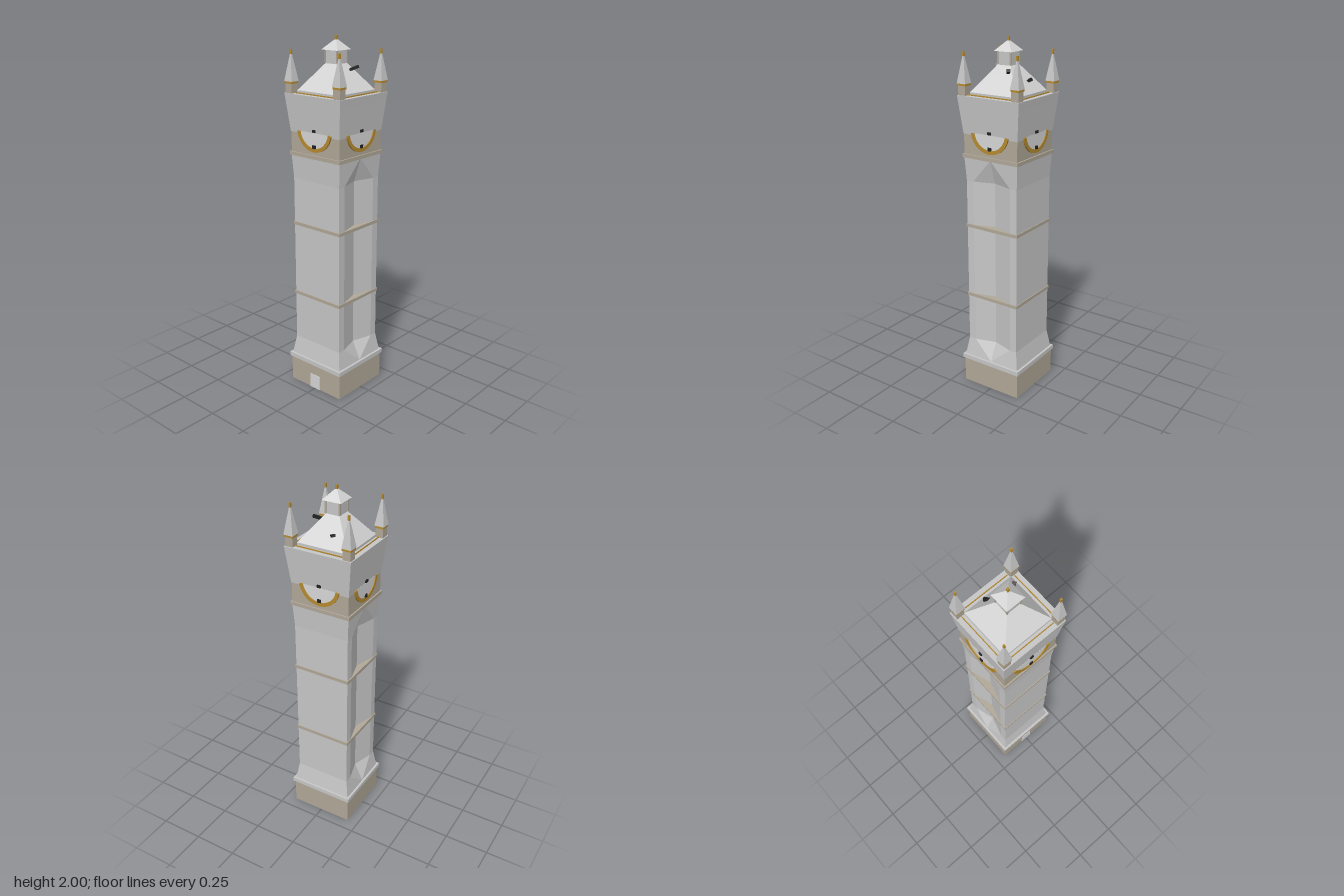
import * as THREE from 'three';

const mat = (name, color, side = THREE.FrontSide) => {
  const m = new THREE.MeshStandardMaterial({ color, side });
  m.name = name;
  return m;
};

export function createModel() {
  const stone = mat('grey stone', 0xc6c6c6);
  const tan = mat('tan stone', 0xb0a797);
  const pale = mat('pale grey', 0xd6d6d6);
  const gold = mat('gold', 0xb48a30);
  const dark = mat('dark iron', 0x222222);

  const tower = new THREE.Group();
  tower.name = 'clockTower';

  const add = (name, geo, material, x = 0, y = 0, z = 0, parent = tower) => {
    const m = new THREE.Mesh(geo, material);
    m.name = name;
    m.position.set(x, y, z);
    parent.add(m);
    return m;
  };
  // square block of half-width h between two heights
  const block = (name, h, y0, y1, material, parent = tower) =>
    add(name, new THREE.BoxGeometry(2 * h, y1 - y0, 2 * h), material, 0, (y0 + y1) / 2, 0, parent);
  // square block tapering from half-width h0 to h1
  const taper = (name, h0, h1, y0, y1, material, parent = tower) => {
    const g = new THREE.CylinderGeometry(h1 * Math.SQRT2, h0 * Math.SQRT2, y1 - y0, 4)
      .rotateY(Math.PI / 4).toNonIndexed();
    g.computeVertexNormals();
    return add(name, g, material, 0, (y0 + y1) / 2, 0, parent);
  };

  // plinth and door
  block('plinth', 0.184, 0, 0.15, tan);
  block('plinthLedge', 0.193, 0.15, 0.175, stone);
  add('door', new THREE.BoxGeometry(0.072, 0.085, 0.006), pale, 0, 0.0425, 0.184);

  // shaft, with a shallow V-shaped recess down its two sides
  const ring = (y, h, d) => [
    [h, h], [h, 0.12], [h - d, 0], [h, -0.12], [h, -h],
    [-h, -h], [-h, -0.12], [d - h, 0], [-h, 0.12], [-h, h],
  ].map(([x, z]) => [x, y, z]);
  const rings = [ring(0.175, 0.18, 0), ring(0.28, 0.163, 0.035), ring(1.24, 0.163, 0.035), ring(1.375, 0.171, 0)];
  const pos = [];
  for (let r = 0; r < 3; r++) {
    for (let i = 0; i < 10; i++) {
      const j = (i + 1) % 10;
      const a = rings[r][i], b = rings[r][j], c = rings[r + 1][j], d = rings[r + 1][i];
      const centreFirst = i === 2 || i === 7;
      if (centreFirst === (r === 2)) pos.push(...a, ...b, ...d, ...b, ...c, ...d);
      else pos.push(...a, ...b, ...c, ...a, ...c, ...d);
    }
  }
  const shaft = new THREE.BufferGeometry();
  shaft.setAttribute('position', new THREE.Float32BufferAttribute(pos, 3));
  shaft.computeVertexNormals();
  add('shaft', shaft, stone);
  for (const y of [0.563, 0.982]) block('shaftBand', 0.168, y - 0.009, y + 0.009, tan);

  // clock stage and flared top
  block('clockLedge', 0.178, 1.371, 1.391, tan);
  block('clockStage', 0.17, 1.391, 1.5, tan);
  taper('flareLower', 0.172, 0.189, 1.5, 1.66, stone);
  taper('flareUpper', 0.189, 0.194, 1.66, 1.705, stone);

  // lower part of a dial, cut level at the foot of the flare
  const cut = Math.asin(0.02 / 0.12);
  const discShape = new THREE.Shape();
  discShape.absarc(0, 0, 0.112, Math.PI + cut, 2 * Math.PI - cut, false);
  const rimShape = new THREE.Shape();
  rimShape.absarc(0, 0, 0.12, Math.PI + cut, 2 * Math.PI - cut, false);
  rimShape.absarc(0, 0, 0.1, 2 * Math.PI - cut, Math.PI + cut, true);
  const disc = new THREE.ExtrudeGeometry(discShape, { depth: 0.004, bevelEnabled: false, curveSegments: 20 });
  const rim = new THREE.ExtrudeGeometry(rimShape, { depth: 0.009, bevelEnabled: false, curveSegments: 20 });
  for (let k = 0; k < 4; k++) {
    const clock = new THREE.Group();
    clock.name = 'clockDial';
    clock.rotation.y = k * Math.PI / 2;
    tower.add(clock);
    add('dialFace', disc, pale, 0, 1.53, 0.17, clock);
    add('dialRim', rim, gold, 0, 1.53, 0.17, clock);
    add('dialHub', new THREE.BoxGeometry(0.02, 0.014, 0.012), dark, 0, 1.522, 0.176, clock);
    add('handTip', new THREE.BoxGeometry(0.02, 0.018, 0.008), dark, 0, 1.438, 0.176, clock);
    // parapet rail
    add('rail', new THREE.BoxGeometry(0.28, 0.006, 0.004), gold, 0, 1.708, 0.165, clock);
  }

  // main roof
  block('roofKerb', 0.147, 1.705, 1.718, stone);
  taper('roof', 0.145, 0.036, 1.718, 1.862, pale);

  // lantern
  block('lantern', 0.04, 1.855, 1.93, stone);
  for (const x of [-1, 1]) for (const z of [-1, 1])
    add('lanternPost', new THREE.BoxGeometry(0.008, 0.07, 0.008), tan, x * 0.04, 1.895, z * 0.04);
  taper('lanternRoof', 0.055, 0.004, 1.927, 1.98, pale);
  block('lanternFinial', 0.006, 1.972, 2, gold);

  // corner pinnacles
  for (const x of [-1, 1]) for (const z of [-1, 1]) {
    const p = new THREE.Group();
    p.name = 'pinnacle';
    p.position.set(x * 0.1665, 0, z * 0.1665);
    tower.add(p);
    block('pinnacleBase', 0.022, 1.7, 1.757, tan, p);
    block('pinnacleBand', 0.025, 1.755, 1.766, gold, p);
    taper('pinnacleSpire', 0.027, 0.003, 1.766, 1.91, stone, p);
    block('pinnacleFinial', 0.005, 1.905, 1.93, gold, p);
  }

  // iron bars standing out of the roof
  const bar = (from, to, w) => {
    const a = new THREE.Vector3(...from), b = new THREE.Vector3(...to);
    const m = add('roofBar', new THREE.BoxGeometry(w, w * 0.8, a.distanceTo(b)), dark);
    m.position.copy(a).add(b).multiplyScalar(0.5);
    m.lookAt(b);
  };
  bar([0.05, 1.818, -0.03], [0.098, 1.842, -0.067], 0.018);
  bar([-0.028, 1.772, -0.095], [-0.05, 1.784, -0.114], 0.018);

  return tower;
}
